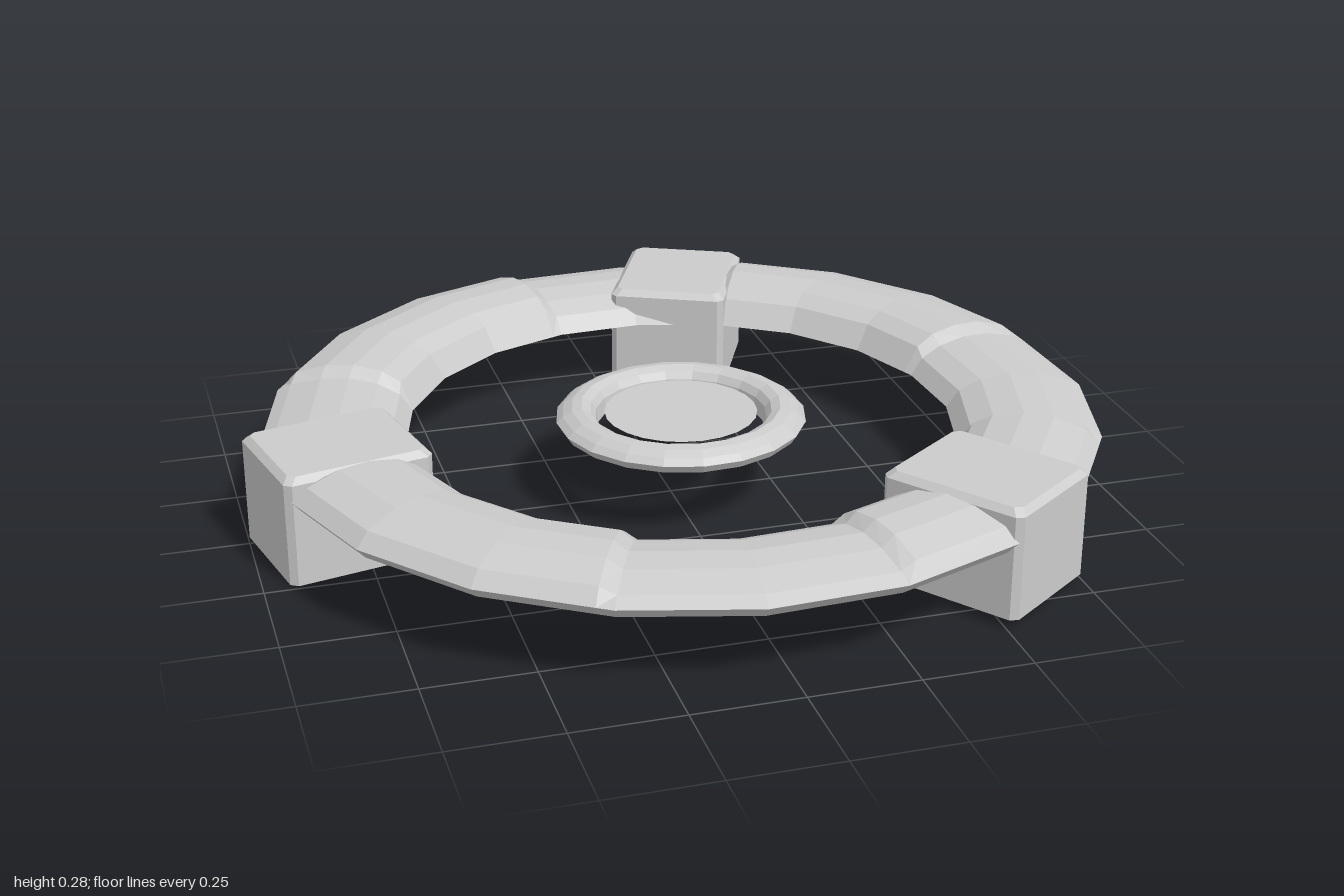
import * as THREE from 'three';
import { ConvexGeometry } from 'three/addons/geometries/ConvexGeometry.js';

const rad = THREE.MathUtils.degToRad;
const grey = new THREE.MeshStandardMaterial({ color: 0xcccccc, flatShading: true });
const shell = new THREE.MeshStandardMaterial({ color: 0xcccccc, flatShading: true, side: THREE.DoubleSide });

// Cross-sections [radius, height], from the inner lip over the top to the outer lip
const LOW = [[0.647, 0.172], [0.677, 0.212], [0.73, 0.236], [0.8, 0.247], [0.87, 0.242], [0.945, 0.222], [0.978, 0.205], [0.955, 0.178]];
const HIGH = [[0.647, 0.172], [0.685, 0.232], [0.73, 0.257], [0.8, 0.268], [0.87, 0.263], [0.947, 0.238], [0.978, 0.205], [0.955, 0.178]];
const HUB = [[0.197, 0.17], [0.202, 0.205], [0.214, 0.222], [0.235, 0.232], [0.258, 0.228], [0.28, 0.216], [0.295, 0.202], [0.282, 0.182]];

// Closed sweep around y through a list of { angle, scale, profile } sections
function sweep(sections) {
  const n = sections[0].profile.length, pos = [], idx = [];
  sections.forEach(({ angle, scale, profile }, i) => {
    const next = (i + 1) % sections.length;
    profile.forEach(([r, y], j) => {
      pos.push(r * scale * Math.cos(angle), y, r * scale * Math.sin(angle));
      if (j < n - 1) {
        const a = i * n + j, b = next * n + j;
        idx.push(a, b, b + 1, a, b + 1, a + 1);
      }
    });
  });
  const g = new THREE.BufferGeometry();
  g.setAttribute('position', new THREE.Float32BufferAttribute(pos, 3));
  g.setIndex(idx);
  g.computeVertexNormals();
  return g;
}

// Twenty-sided ring with four raised stretches, each three sides long
function ringSections() {
  const out = [];
  const step = 2.3;
  const onSide = Math.cos(rad(9)) / Math.cos(rad(9 - step)); // keeps the step on the straight side
  const add = (deg, profile, scale = 1) => out.push({ angle: rad(deg), scale, profile });
  for (let q = 0; q < 4; q++) {
    const s = 24 + q * 90;
    add(s, LOW);
    add(s + step, HIGH, onSide);
    add(s + 18, HIGH);
    add(s + 36, HIGH);
    add(s + 54 - step, HIGH, onSide);
    add(s + 54, LOW);
    add(s + 72, LOW);
  }
  return out;
}

// Block with chamfered upright and top edges
function blockGeometry(l, w, h, c) {
  const pts = [];
  const layer = (y, inset) => {
    const x = l / 2 - inset, z = w / 2 - inset;
    for (const sx of [-1, 1]) for (const sz of [-1, 1]) {
      pts.push(new THREE.Vector3(sx * x, y, sz * (z - c)), new THREE.Vector3(sx * (x - c), y, sz * z));
    }
  };
  layer(0, 0);
  layer(h - c, 0);
  layer(h, c);
  return new ConvexGeometry(pts);
}

export function createModel() {
  const model = new THREE.Group();
  model.name = 'ringOnBlocks';
  const add = (name, geometry, material, x, y, z) => {
    const m = new THREE.Mesh(geometry, material);
    m.name = name;
    m.position.set(x, y, z);
    model.add(m);
    return m;
  };
  const cx = 0.022, cz = 0.01;

  // Outer ring, open underneath
  add('outerRing', sweep(ringSections()), shell, cx, 0, cz);

  // Small ring and disc in the middle
  const hub = Array.from({ length: 20 }, (_, i) => ({ angle: rad(6 + i * 18), scale: 1, profile: HUB }));
  add('centreRing', sweep(hub), shell, cx, 0, cz);
  add('centreDisc', new THREE.CircleGeometry(0.18, 24).rotateX(-Math.PI / 2), shell, cx, 0.212, cz);

  // Three blocks carrying the ring: x, y, z, heading in degrees
  const block = blockGeometry(0.35, 0.295, 0.258, 0.015);
  [['backBlock', 0.24, 0, -0.775, -65], ['rightBlock', -0.797, 0, 0.06, 167.5], ['frontBlock', 0.53, 0.021, 0.635, 54]]
    .forEach(([name, x, y, z, deg]) => {
      add(name, block, grey, x, y, z).rotation.y = -rad(deg);
    });
  return model;
}
